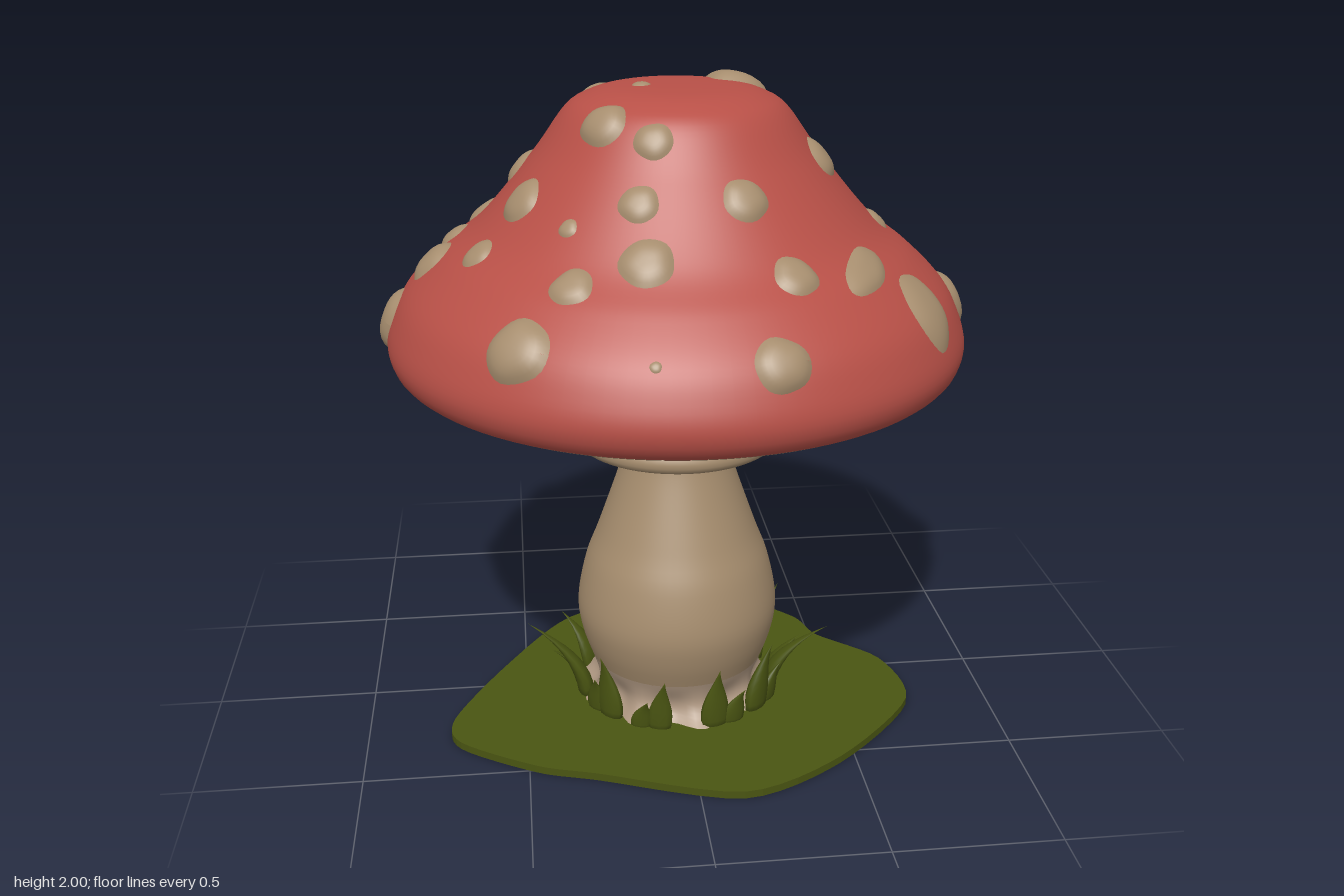
import * as THREE from 'three';
import { mergeVertices } from 'three/addons/utils/BufferGeometryUtils.js';

const material = (name, color) => {
  const m = new THREE.MeshStandardMaterial({ color });
  m.name = name;
  return m;
};

const curveOf = (pts) => new THREE.SplineCurve(pts.map((p) => new THREE.Vector2(p[0], p[1])));

// Weld and smooth a geometry after its vertices were moved
function smooth(geometry) {
  geometry.deleteAttribute('uv');
  geometry.deleteAttribute('normal');
  const g = mergeVertices(geometry, 1e-5);
  g.computeVertexNormals();
  return g;
}

function moveVertices(geometry, rule) {
  const p = geometry.attributes.position;
  const v = new THREE.Vector3();
  for (let i = 0; i < p.count; i++) {
    v.fromBufferAttribute(p, i);
    rule(v);
    p.setXYZ(i, v.x, v.y, v.z);
  }
  return smooth(geometry);
}

// A patch wrapped on a lathed surface: half-width a around, half-height b along the profile, turned by turn
function patchOn(curve, x, z, a, b, height, lift, wobble, turn = 0) {
  const N = 300;
  const pts = curve.getSpacedPoints(N);
  const step = curve.getLength() / N;
  const r0 = Math.hypot(x, z);
  const angle = Math.atan2(x, z);
  let best = N;
  for (let i = N; i > N * 0.1; i--) {
    if (Math.abs(pts[i].x - r0) < Math.abs(pts[best].x - r0)) best = i;
  }
  const rMid = Math.max(pts[best].x, 0.05);
  return moveVertices(new THREE.RingGeometry(0, 1, 28, 6), (v) => {
    const rho = Math.hypot(v.x, v.y);
    const phi = Math.atan2(v.y, v.x);
    const w = 1 + wobble * Math.sin(3 * phi + 9 * x) + wobble * 0.6 * Math.sin(5 * phi + 7 * z);
    const along = (v.x * a * Math.cos(turn) - v.y * b * Math.sin(turn)) * w;
    const up = (v.x * a * Math.sin(turn) + v.y * b * Math.cos(turn)) * w;
    const s = THREE.MathUtils.clamp(best + up / step, 1, N - 1.001);
    const i = Math.floor(s);
    const p = pts[i].clone().lerp(pts[i + 1], s - i);
    const t = pts[i + 1].clone().sub(pts[i - 1]).normalize();
    const off = height * (1 - rho ** 3) + lift;
    const theta = angle + along / rMid;
    const r = p.x + t.y * off;
    v.set(r * Math.sin(theta), p.y - t.x * off, r * Math.cos(theta));
  });
}

// Grass blade: a flattened cone that bends outward
function blade(width, height, lean, sway) {
  const g = new THREE.ConeGeometry(width, height, 10, 8);
  g.translate(0, height / 2, 0);
  return moveVertices(g, (v) => {
    const t = v.y / height;
    const bulge = 1 + 0.7 * Math.sin(Math.PI * t);
    v.x = v.x * bulge + sway * t * t;
    v.z = v.z * 0.5 * bulge + lean * t * t;
  });
}

export function createModel() {
  const red = material('cap red', 0xb85047);
  const beige = material('stem beige', 0xa68d6e);
  const pale = material('root pale beige', 0xad9680);
  const green = material('grass green', 0x4a5512);
  const model = new THREE.Group();
  const add = (name, geometry, mat, parent = model) => {
    const mesh = new THREE.Mesh(geometry, mat);
    mesh.name = name;
    parent.add(mesh);
    return mesh;
  };

  // Cap, tipped slightly forward
  const head = new THREE.Group();
  head.name = 'head';
  head.rotation.x = 0.01;
  model.add(head);
  const capCurve = curveOf([
    [0.835, 1.158], [0.862, 1.185], [0.876, 1.24], [0.858, 1.31], [0.81, 1.4], [0.71, 1.5], [0.585, 1.6],
    [0.425, 1.79], [0.33, 1.92], [0.27, 1.96], [0.2, 1.98], [0.1, 1.987], [0, 1.988],
  ]);
  add('cap', smooth(new THREE.LatheGeometry(capCurve.getSpacedPoints(70), 96)), red, head);

  // Hollow underside with gills and a smooth rim
  const underCurve = curveOf([
    [0.09, 1.38], [0.25, 1.36], [0.45, 1.3], [0.62, 1.22], [0.7, 1.165], [0.75, 1.142], [0.8, 1.143], [0.835, 1.158],
  ]);
  const gills = moveVertices(new THREE.LatheGeometry(underCurve.getSpacedPoints(40), 288), (v) => {
    const r = Math.hypot(v.x, v.z);
    const fade = THREE.MathUtils.smoothstep(r, 0.1, 0.25) * (1 - THREE.MathUtils.smoothstep(r, 0.5, 0.66));
    const angle = Math.atan2(v.x, v.z);
    v.y += 0.011 * fade * Math.sin(36 * angle + 2 * Math.sin(5 * angle) + 4 * r);
  });
  add('gills', gills, beige, head);

  // Green blotches under the cap
  [[0.52, 0.11, 0.1], [0.38, -0.02, 0.085], [-0.52, 0.04, 0.12], [-0.33, -0.2, 0.06]].forEach(([x, z, size]) =>
    add('underBlotch', patchOn(underCurve, x, z, size, size * 0.9, 0.004, 0.013, 0.15), green, head));

  // Round cap spots: x, z, size; larger spots bulge more
  const roundSpots = [
    [0.2, -0.16, 0.1], [0.41, -0.14, 0.07], [0.41, 0.12, 0.07], [0.6, 0.055, 0.045], [0.855, 0.01, 0.095],
    [0.26, 0.57, 0.067], [0.14, 0.44, 0.067], [0.19, 0.79, 0.08], [-0.14, 0.56, 0.077], [-0.34, 0.55, 0.063],
    [-0.15, 0.44, 0.058], [-0.1, 0.34, 0.057], [-0.34, 0.4, 0.03], [-0.23, 0.235, 0.075], [-0.46, 0.19, 0.075],
    [-0.59, 0.23, 0.055], [-0.49, 0.64, 0.097], [-0.14, 0.795, 0.017], [-0.1, 0, 0.029], [-0.46, -0.09, 0.063],
    [-0.73, 0.01, 0.08], [-0.665, -0.1, 0.053], [-0.862, -0.03, 0.1], [-0.57, -0.27, 0.07],
    [-0.68, -0.51, 0.085], [-0.23, -0.25, 0.08], [-0.27, -0.68, 0.075], [-0.3, -0.8, 0.075], [-0.15, -0.63, 0.058],
    [-0.16, -0.485, 0.047], [0.03, -0.51, 0.087], [-0.03, -0.85, 0.09], [0.17, -0.79, 0.08],
  ];
  roundSpots.forEach(([x, z, size]) =>
    add('spot', patchOn(capCurve, x, z, size, size * 0.98, size * 0.3, -0.001, 0.03), beige, head));

  // Long flat spots: x, z, half-width, half-height, turn
  [[0.64, -0.32, 0.125, 0.075, -0.8], [0.67, 0.43, 0.1, 0.13, -0.3], [0.48, 0.45, 0.125, 0.06, 0.4]]
    .forEach(([x, z, a, b, turn]) =>
      add('longSpot', patchOn(capCurve, x, z, a, b, 0.016, -0.001, 0.03, turn), beige, head));

  // Stem
  const stem = new THREE.Group();
  stem.name = 'stem';
  stem.position.z = 0.045;
  model.add(stem);
  const stemCurve = curveOf([
    [0.28, 0.15], [0.31, 0.24], [0.322, 0.34], [0.295, 0.48], [0.25, 0.6],
    [0.175, 0.82], [0.155, 0.93], [0.14, 1.05], [0.128, 1.2], [0.118, 1.4],
  ]);
  add('stalk', smooth(new THREE.LatheGeometry(stemCurve.getSpacedPoints(50), 64)), beige, stem);

  // Lumpy roots spreading at the ground
  const rootCurve = curveOf([[0.31, 0.02], [0.275, 0.05], [0.263, 0.09], [0.282, 0.155]]);
  const roots = moveVertices(new THREE.LatheGeometry(rootCurve.getSpacedPoints(12), 72), (v) => {
    const k = 1 + 0.08 * (1 - THREE.MathUtils.smoothstep(v.y, 0.02, 0.15)) * Math.sin(9 * Math.atan2(v.x, v.z));
    v.x *= k;
    v.z *= k;
  });
  add('roots', roots, pale, stem);

  // Hanging ring around the stem
  const ringCurve = curveOf([
    [0.14, 1.02], [0.2, 1.0], [0.27, 0.94], [0.3, 0.9], [0.322, 0.905], [0.325, 0.94],
    [0.29, 0.985], [0.22, 1.04], [0.175, 1.09], [0.148, 1.15], [0.126, 1.21],
  ]);
  add('ring', smooth(new THREE.LatheGeometry(ringCurve.getSpacedPoints(50), 64)), beige, stem);

  // Ground patch with an uneven outline
  const outline = [
    [0.7, 0], [0.73, 0.26], [0.45, 0.56], [0.13, 0.71], [-0.3, 0.57], [-0.48, 0.51], [-0.71, 0.36],
    [-0.73, 0.22], [-0.56, -0.1], [-0.34, -0.4], [0, -0.54], [0.25, -0.5], [0.46, -0.32], [0.52, -0.18],
  ].map(([x, z]) => new THREE.Vector3(x, -z, 0));
  const edge = new THREE.CatmullRomCurve3(outline, true, 'catmullrom', 0.4).getPoints(84);
  const shape = new THREE.Shape(edge.slice(0, -1).map((p) => new THREE.Vector2(p.x, p.y)));
  const ground = new THREE.ExtrudeGeometry(shape, { depth: 0.024, bevelEnabled: false });
  ground.rotateX(-Math.PI / 2);
  add('ground', ground, green);

  // Grass tufts around the stem, tallest and most bent at the two sides
  const tufts = 11;
  for (let i = 0; i < tufts; i++) {
    const a = ((i + 0.5) / tufts) * Math.PI * 2;
    const side = Math.sin(a) ** 12;
    const width = 0.042 + 0.006 * Math.sin(i * 1.7);
    const height = 0.22 + 0.03 * Math.sin(i * 2.4) + 0.04 * side;
    const lean = 0.04 + 0.16 * side;
    const tuft = new THREE.Group();
    tuft.name = 'grassTuft';
    tuft.position.set(0.31 * Math.sin(a), 0.015, 0.05 + 0.3 * Math.cos(a));
    tuft.rotation.y = a;
    add('grassBlade', blade(width, height, lean, 0.03 * Math.sin(i * 2.1)), green, tuft);
    const short = add('shortBlade', blade(width * 0.85, height * 0.6, lean * 0.5 + 0.02, 0.03), green, tuft);
    short.position.x = i < tufts / 2 ? 0.06 : -0.06;
    model.add(tuft);
  }

  return model;
}
